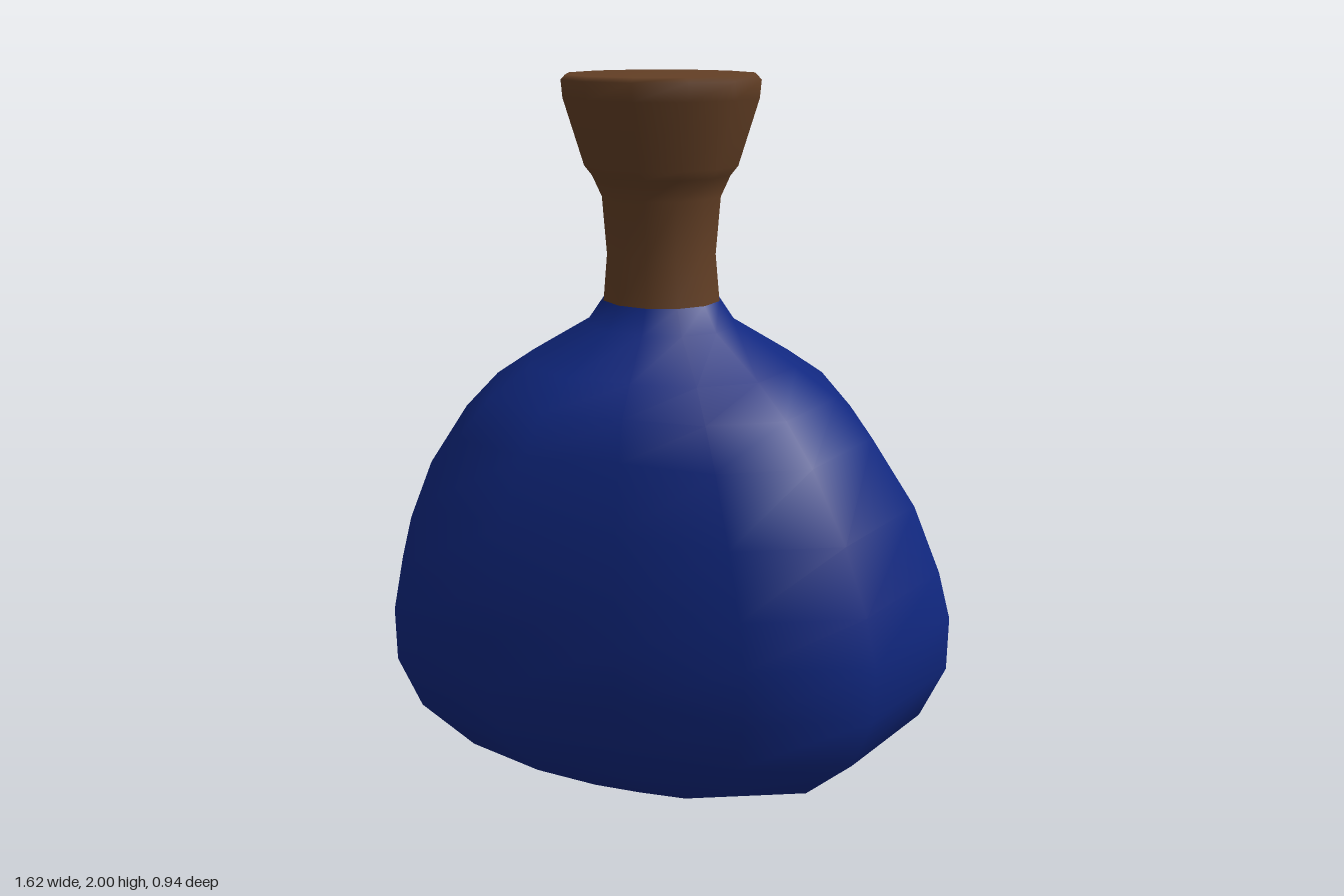
import * as THREE from 'three';

const SIDES = 12;
// One quadrant of the wide, slightly dented cross-section, as [x, z] factors
const WIDE = [[1, 0], [0.815, 0.76], [0.43, 1], [0, 0.94]];

// Section point i, blended from a circle (w = 0) to the wide outline (w = 1)
function sectionPoint(i, w) {
  const a = (i / SIDES) * Math.PI * 2;
  const c = Math.cos(a), s = Math.sin(a);
  const k = i % 6 <= 3 ? i % 6 : 6 - (i % 6);
  const [ux, uz] = WIDE[k];
  const sx = Math.abs(c) < 1e-6 ? 0 : Math.sign(c);
  const sz = Math.abs(s) < 1e-6 ? 0 : Math.sign(s);
  return [c * (1 - w) + sx * ux * w, s * (1 - w) + sz * uz * w];
}

// Skin of rings [y, half width, half depth, blend], bottom to top, with optional pole points
function loft(rings, bottomY, topY) {
  const pos = [], index = [];
  for (const [y, rx, rz, w] of rings) {
    for (let i = 0; i < SIDES; i++) {
      const [x, z] = sectionPoint(i, w);
      pos.push(x * rx, y, z * rz);
    }
  }
  for (let r = 0; r < rings.length - 1; r++) {
    for (let i = 0; i < SIDES; i++) {
      const j = (i + 1) % SIDES;
      const a = r * SIDES + i, b = r * SIDES + j;
      const c = a + SIDES, d = b + SIDES;
      index.push(a, c, b, b, c, d);
    }
  }
  const pole = (y, start, up) => {
    const p = pos.length / 3;
    pos.push(0, y, 0);
    for (let i = 0; i < SIDES; i++) {
      const a = start + i, b = start + ((i + 1) % SIDES);
      if (up) index.push(a, p, b);
      else index.push(a, b, p);
    }
  };
  if (bottomY !== undefined) pole(bottomY, 0, false);
  if (topY !== undefined) pole(topY, (rings.length - 1) * SIDES, true);
  const g = new THREE.BufferGeometry();
  g.setAttribute('position', new THREE.Float32BufferAttribute(pos, 3));
  g.setIndex(index);
  g.computeVertexNormals();
  return g;
}

export function createModel() {
  const blue = new THREE.MeshStandardMaterial({ name: 'blue glass', color: 0x10277f, side: THREE.DoubleSide });
  const brown = new THREE.MeshStandardMaterial({ name: 'brown cork', color: 0x633f25, side: THREE.DoubleSide });
  const group = new THREE.Group();
  group.name = 'bottle';

  // Broad flattened body, rounded underneath and closing in to a collar
  const body = new THREE.Mesh(loft([
    [0.042, 0.29, 0.235, 0.6],
    [0.145, 0.59, 0.355, 1],
    [0.28, 0.745, 0.43, 1],
    [0.43, 0.81, 0.468, 1],
    [0.58, 0.81, 0.47, 1],
    [0.71, 0.775, 0.465, 1],
    [0.89, 0.70, 0.45, 1],
    [1.07, 0.58, 0.41, 0.9],
    [1.175, 0.48, 0.37, 0.75],
    [1.25, 0.37, 0.30, 0.5],
    [1.35, 0.205, 0.185, 0.1],
    [1.415, 0.16, 0.15, 0],
  ], 0.003), blue);
  body.name = 'body';

  // Waisted neck flaring into the stopper
  const neck = new THREE.Mesh(loft([
    [1.415, 0.16, 0.15, 0],
    [1.54, 0.148, 0.146, 0],
    [1.69, 0.16, 0.158, 0],
    [1.745, 0.185, 0.185, 0],
    [1.77, 0.205, 0.205, 0],
    [1.94, 0.258, 0.258, 0],
    [1.985, 0.262, 0.262, 0],
    [1.997, 0.25, 0.25, 0],
  ], undefined, 2), brown);
  neck.name = 'neckAndStopper';

  group.add(body, neck);
  return group;
}
